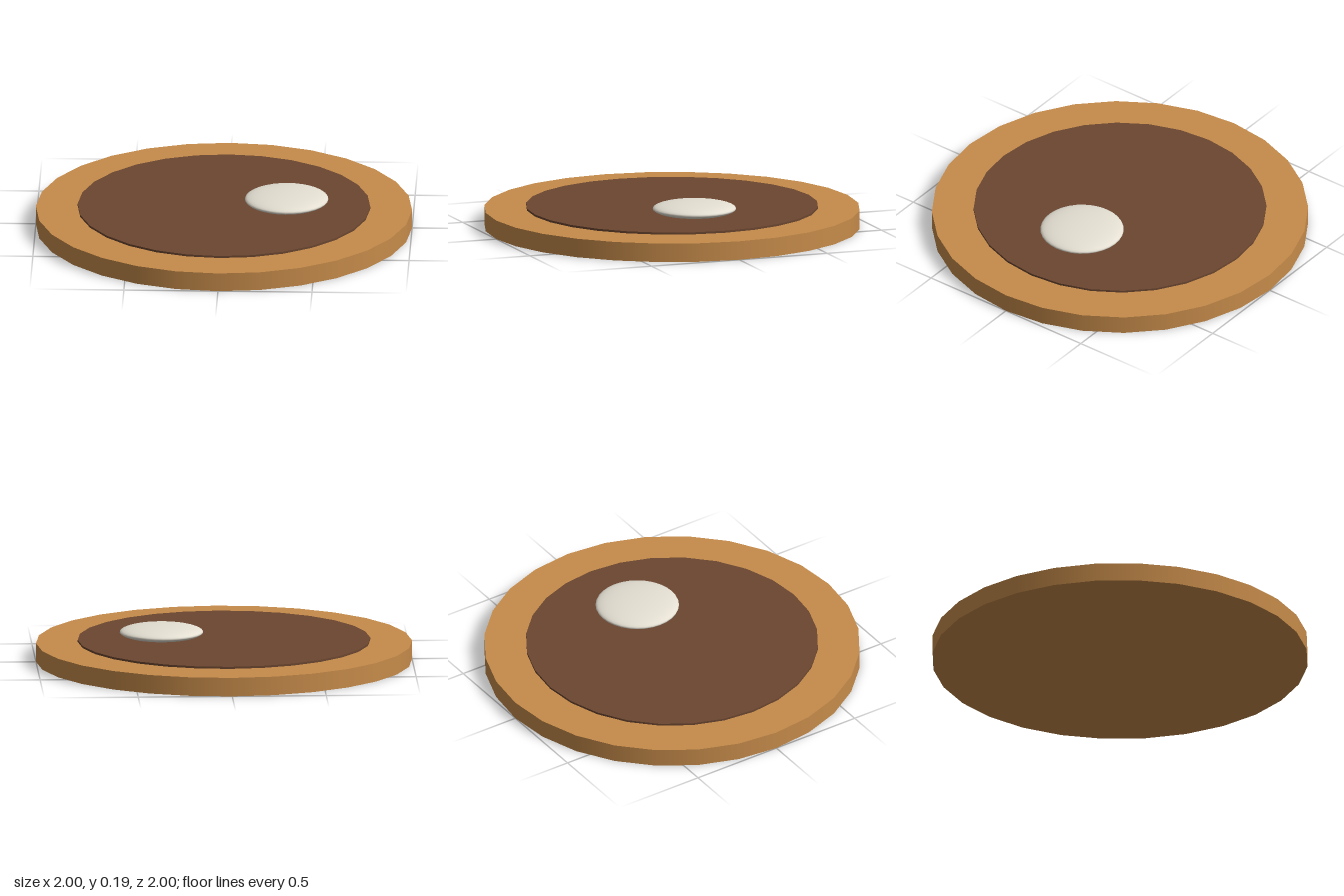
import * as THREE from 'three';

export function createModel() {
  const group = new THREE.Group();
  const material = (name, color) => {
    const m = new THREE.MeshStandardMaterial({ color });
    m.name = name;
    return m;
  };
  const add = (name, geometry, mat, x, y) => {
    const mesh = new THREE.Mesh(geometry, mat);
    mesh.name = name;
    mesh.position.set(x, y, 0);
    group.add(mesh);
    return mesh;
  };

  // Round wooden board
  add('board', new THREE.CylinderGeometry(1, 1, 0.1, 28), material('lightWood', 0xc68b4a), 0, 0.05);

  // Thin dark disc just above the board
  add('innerDisc', new THREE.CylinderGeometry(0.778, 0.778, 0.011, 28), material('darkBrown', 0x6b4630), 0, 0.111);

  // Flattened pale pebble, set to the left side
  const pebble = add('pebble', new THREE.SphereGeometry(0.222, 32, 20), material('ivory', 0xe4dfd2), 0.333, 0.157);
  pebble.scale.y = 0.17;

  return group;
}
